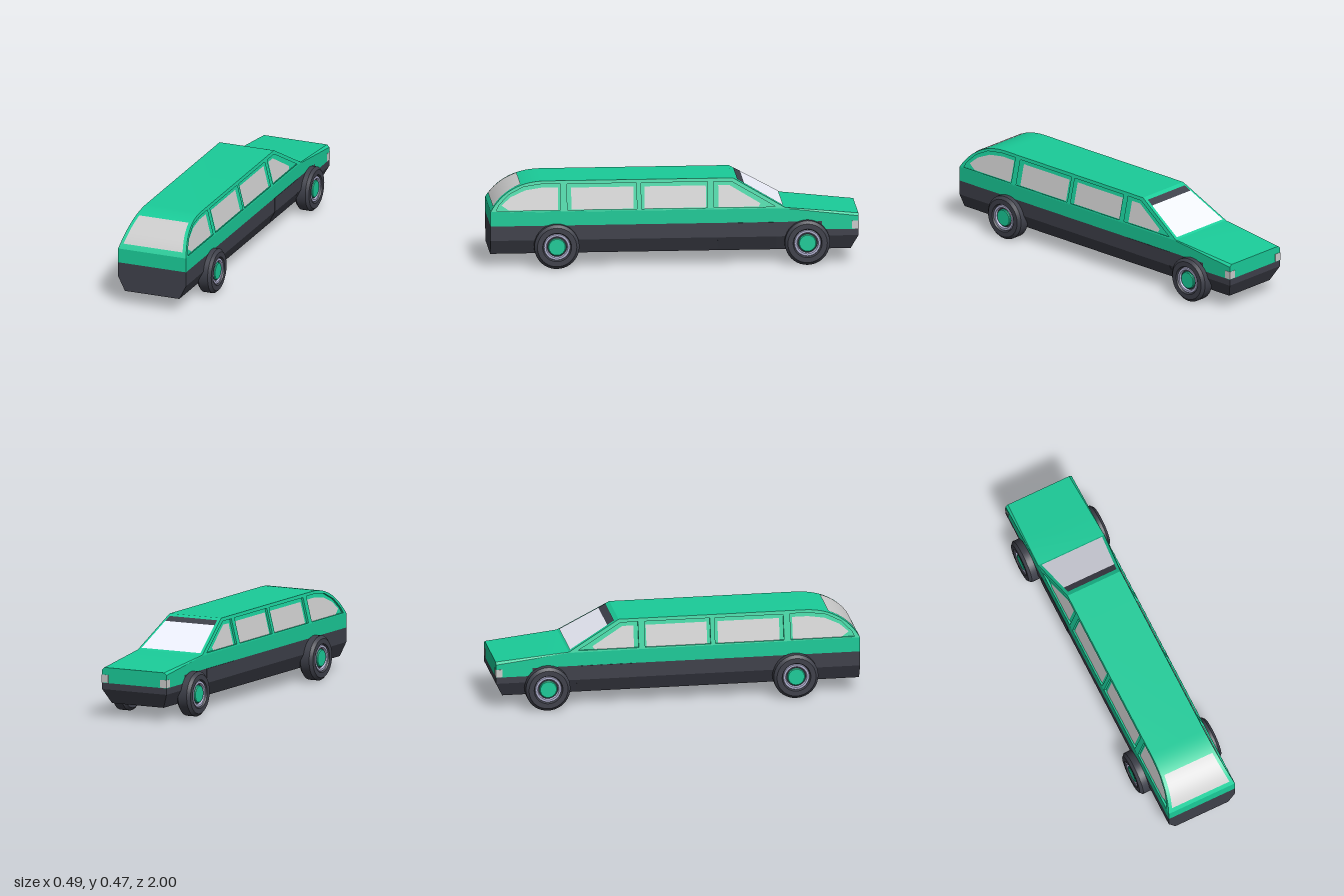
import * as THREE from 'three';
import { toCreasedNormals } from 'three/addons/utils/BufferGeometryUtils.js';

const mat = (color) => new THREE.MeshStandardMaterial({ color });
const green = mat(0x1acc99), dark = mat(0x3e404a), grey = mat(0xcccccc);
const screen = mat(0xeef0fc), rimMat = mat(0xb2b2d2);

function add(parent, name, geometry, material) {
  const mesh = new THREE.Mesh(geometry, material);
  mesh.name = name;
  parent.add(mesh);
  return mesh;
}

// Skin a run of mirrored cross-sections, rear to nose.
// Each section lists the +x half as [x, y, z], bottom to top.
function loft(sections, crease = 0.3) {
  const pos = [];
  const quad = (a, b, c, d) => pos.push(...a, ...b, ...c, ...a, ...c, ...d);
  const mirror = ([x, y, z]) => [-x, y, z];
  const rings = sections.map((h) => [...h, ...[...h].reverse().map(mirror)]);
  const n = rings[0].length;
  for (let i = 0; i < rings.length - 1; i++) {
    const a = rings[i], b = rings[i + 1];
    for (let j = 0; j < n; j++) {
      const k = (j + 1) % n;
      quad(a[j], b[j], b[k], a[k]);
    }
  }
  const first = sections[0], last = sections[sections.length - 1];
  for (let i = 0; i < first.length - 1; i++) {
    quad(first[i], first[i + 1], mirror(first[i + 1]), mirror(first[i]));
    quad(mirror(last[i]), mirror(last[i + 1]), last[i + 1], last[i]);
  }
  const g = new THREE.BufferGeometry();
  g.setAttribute('position', new THREE.Float32BufferAttribute(pos, 3));
  g.computeVertexNormals();
  return toCreasedNormals(g, crease);
}

// Cabin outline: half width by height, and the curved tail as (z, y)
const BELT = 0.315, ROOF = 0.475, DEPTH = 0.012;
const halfWidth = (y) => 0.2 - 0.04 * (y - BELT) / (ROOF - BELT);
const v2 = (x, y) => new THREE.Vector2(x, y);
const tail = new THREE.CubicBezierCurve(v2(1, BELT), v2(0.95, 0.4), v2(0.86, ROOF), v2(0.7, ROOF));
const outline = [...tail.getPoints(16).map((p) => [p.x, p.y]), [-0.32, ROOF], [-0.6, BELT]];

// Lay a flat (z, y) geometry onto the sloping cabin side
function ontoSide(geometry, side, inset) {
  const p = geometry.attributes.position;
  for (let i = 0; i < p.count; i++) {
    const u = p.getX(i), y = p.getY(i), d = p.getZ(i);
    p.setXYZ(i, side * (halfWidth(y) - inset + d), y, -side * u);
  }
  geometry.computeVertexNormals();
  return toCreasedNormals(geometry, 0.3);
}

const recesses = [
  [[0.62, 0.32], [0.97, 0.32], [0.955, 0.35], [0.9, 0.405], [0.82, 0.445], [0.72, 0.459], [0.62, 0.459]],
  [[0.583, 0.32], [0.583, 0.457], [0.205, 0.457], [0.205, 0.32]],
  [[0.18, 0.32], [0.18, 0.457], [-0.18, 0.457], [-0.18, 0.32]],
  [[-0.215, 0.32], [-0.215, 0.457], [-0.31, 0.457], [-0.55, 0.32]],
];
const panes = [
  [[0.632, 0.32], [0.9, 0.32], [0.94, 0.347], [0.89, 0.39], [0.81, 0.425], [0.72, 0.438], [0.632, 0.438]],
  [[0.56, 0.32], [0.56, 0.436], [0.222, 0.436], [0.222, 0.32]],
  [[0.162, 0.32], [0.162, 0.436], [-0.172, 0.436], [-0.172, 0.32]],
  [[-0.24, 0.32], [-0.24, 0.436], [-0.3, 0.436], [-0.468, 0.337], [-0.458, 0.32]],
];

function buildBody() {
  const body = new THREE.Group();
  body.name = 'body';
  body.position.x = 0.005;

  // Dark lower hull with chamfered sills and nose
  const hull = (z, top, zLow = z) => [[0.16, 0.075, zLow], [0.2, 0.155, z], [0.2, top, z]];
  add(body, 'lowerHull', loft([hull(1, 0.235), hull(-0.8, 0.235), hull(-0.8, 0.19), hull(-1, 0.19, -0.96)]), dark);
  const sill = (z) => [[0.162, 0.078, z], [0.202, 0.155, z], [0.202, 0.234, z]];
  add(body, 'frontSillPanel', loft([sill(-0.235), sill(-0.555)]), dark);

  // Green belt running forward into the bonnet
  const belt = (z, low, shoulder, xTop, top) => [[0.2, low, z], [0.2, shoulder, z], [xTop, top, z]];
  add(body, 'beltAndBonnet', loft([
    belt(1, 0.235, 0.31, 0.2, BELT),
    belt(-0.6, 0.235, 0.31, 0.199, BELT),
    belt(-0.8, 0.235, 0.286, 0.192, 0.295),
    belt(-0.8, 0.19, 0.286, 0.192, 0.295),
    belt(-1, 0.19, 0.262, 0.185, 0.275),
  ], 0.1), green);

  // Cabin core, set in behind the side frames
  add(body, 'cabin', loft(outline.map(([z, y]) => [
    [0.2 - DEPTH, BELT, z], [halfWidth(y) - DEPTH, y, z],
  ])), green);

  // Side frames with pillars, and the panes inside them
  for (const side of [1, -1]) {
    const pts = (list) => list.map(([z, y]) => v2(-side * z, y));
    const shape = new THREE.Shape(pts(outline));
    shape.holes = recesses.map((r) => new THREE.Path(pts(r)));
    const frame = new THREE.ExtrudeGeometry(shape, { depth: DEPTH, bevelEnabled: false });
    add(body, 'sideFrame', ontoSide(frame, side, DEPTH), green);
    for (const pane of panes) {
      const glass = new THREE.ShapeGeometry(new THREE.Shape(pts(pane))).toNonIndexed();
      add(body, 'sideWindow', ontoSide(glass, side, DEPTH - 0.003), grey);
    }
  }

  // Curved rear window, lifted just off the tail
  const rear = [];
  for (let i = 0; i <= 12; i++) {
    const t = 0.1 + 0.58 * i / 12, p = tail.getPoint(t), d = tail.getTangent(t);
    rear.push([[halfWidth(p.y) - 0.02, p.y - d.x * 0.003, p.x + d.y * 0.003]]);
  }
  add(body, 'rearWindow', loft(rear), grey);

  // Windscreen with a dark sun strip
  const onScreen = (z) => {
    const y = BELT + (z + 0.6) * (ROOF - BELT) / 0.28;
    return [[halfWidth(y) - 0.016, y + 0.003, z - 0.0015]];
  };
  add(body, 'windscreen', loft([onScreen(-0.38), onScreen(-0.59)]), screen);
  add(body, 'sunStrip', loft([onScreen(-0.342), onScreen(-0.38)]), dark);

  // Corner lamps
  for (const side of [1, -1]) {
    const lamp = add(body, 'headlamp', new THREE.BoxGeometry(0.04, 0.043, 0.037), grey);
    lamp.position.set(side * 0.1815, 0.2135, -0.983);
  }
  return body;
}

// Wheel turned about y, outer face upward, then laid on its side
const lathe = (pts) => toCreasedNormals(new THREE.LatheGeometry(pts.map(([r, h]) => v2(r, h)), 40), 0.4);
const tyreGeo = lathe([[0, 0.163], [0.107, 0.163], [0.1225, 0.178], [0.1225, 0.232], [0.107, 0.247], [0.079, 0.247], [0.073, 0.234]]);
const rimGeo = lathe([[0.073, 0.234], [0.07, 0.242], [0.059, 0.242], [0.054, 0.232]]);
const dishGeo = lathe([[0.054, 0.232], [0, 0.232]]);
const hubGeo = lathe([[0.048, 0.231], [0.048, 0.239], [0.044, 0.243], [0, 0.243]]);

function buildWheel(side, z) {
  const wheel = new THREE.Group();
  wheel.name = 'wheel';
  add(wheel, 'tyre', tyreGeo, dark);
  add(wheel, 'rim', rimGeo, rimMat);
  add(wheel, 'dish', dishGeo, dark);
  add(wheel, 'hubcap', hubGeo, green);
  wheel.rotation.z = -side * Math.PI / 2;
  wheel.position.set(0, 0.1225, z);
  return wheel;
}

export function createModel() {
  const car = new THREE.Group();
  car.name = 'limousine';
  car.add(buildBody());
  for (const side of [1, -1]) for (const z of [0.642, -0.72]) car.add(buildWheel(side, z));
  return car;
}
